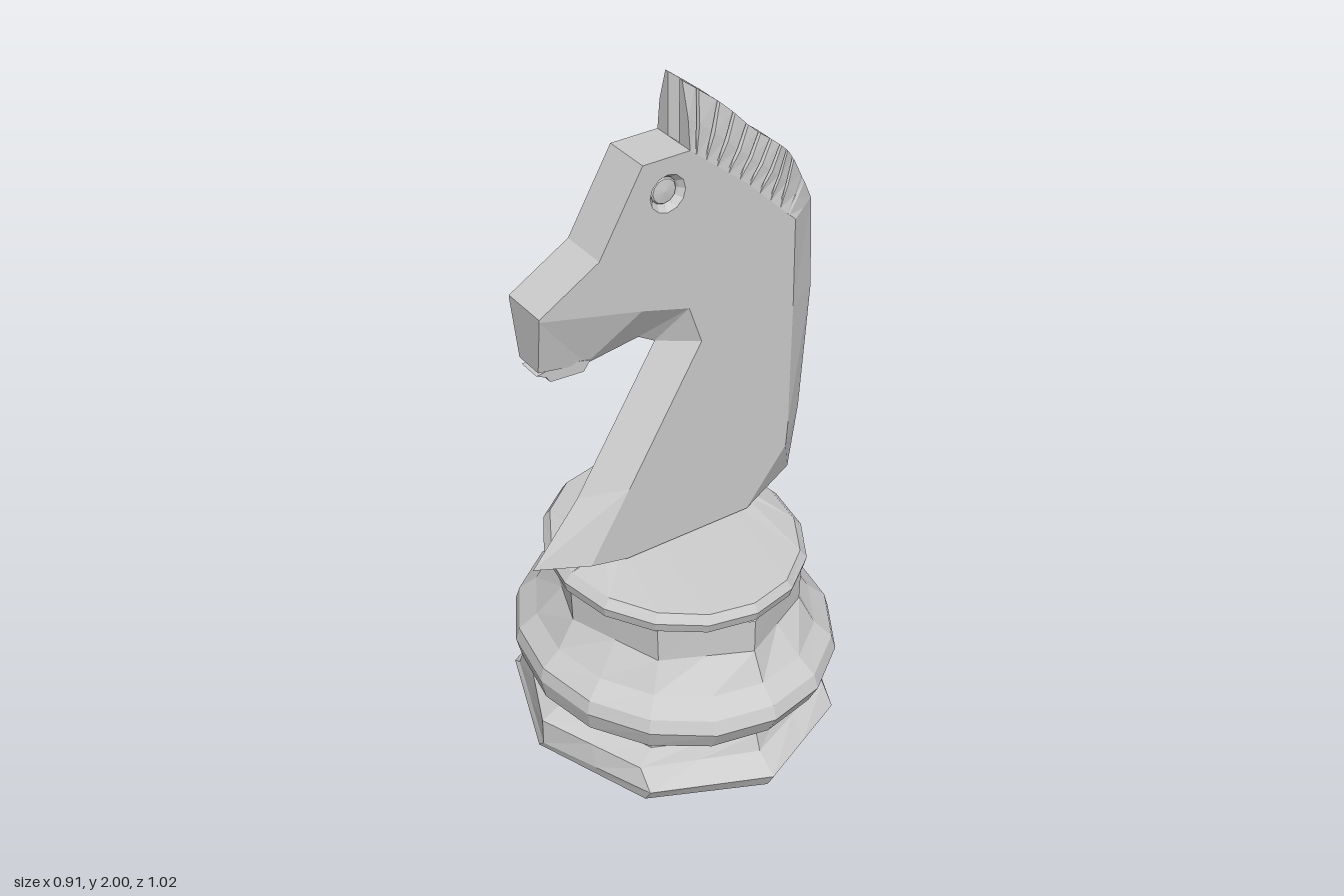
import * as THREE from 'three';

const material = new THREE.MeshStandardMaterial({ color: 0xcccccc, flatShading: true, side: THREE.DoubleSide });
const HALF = 0.072; // half thickness of the horse slab

function part(name, geometry) {
  const mesh = new THREE.Mesh(geometry, material);
  mesh.name = name;
  return mesh;
}

// Joins a list of cross-sections (arrays of [x, y, z]) with quads
function skin(rings) {
  const n = rings[0].length, index = [];
  for (let i = 0; i < rings.length - 1; i++) {
    for (let j = 0; j < n - 1; j++) {
      const a = i * n + j, d = a + n;
      index.push(a, a + 1, d + 1, a, d + 1, d);
    }
  }
  const geometry = new THREE.BufferGeometry();
  geometry.setAttribute('position', new THREE.Float32BufferAttribute(rings.flat(2), 3));
  geometry.setIndex(index);
  geometry.computeVertexNormals();
  return geometry;
}

// Oval cross-section: 16 points, pulled in to eight sides when asked; tilt raises the front
function oval([y, rx, rz, eight = false, z0 = 0.016, tilt = 0]) {
  const points = [];
  for (let i = 0; i <= 16; i++) {
    const a = (i / 16) * Math.PI * 2;
    const k = eight && i % 2 ? Math.cos(Math.PI / 8) : 1;
    const c = Math.cos(a) * k, s = -Math.sin(a) * k;
    points.push([rx * c, y + tilt * s, z0 + rz * s]);
  }
  return points;
}

function createBase() {
  const base = new THREE.Group();
  base.name = 'base';
  const sections = {
    plinth: [
      [0, 0, 0, true, -0.013], [0, 0.445, 0.497, true, -0.013],
      [0.03, 0.447, 0.495, true, 0.016, 0.02],
      [0.115, 0.447, 0.427, true, 0.016, -0.02],
      [0.145, 0.385, 0.41, true], [0.18, 0.385, 0.41, true],
    ],
    bulge: [
      [0.16, 0.37, 0.4], [0.165, 0.395, 0.42], [0.2, 0.432, 0.462], [0.265, 0.447, 0.497],
      [0.305, 0.437, 0.482], [0.35, 0.385, 0.432], [0.435, 0.336, 0.39, true],
    ],
    collar: [[0.435, 0.336, 0.39, true], [0.54, 0.34, 0.39, true]],
    rim: [
      [0.54, 0.335, 0.37], [0.545, 0.352, 0.39], [0.575, 0.358, 0.4],
      [0.6, 0.335, 0.385], [0.635, 0.25, 0.015],
    ],
  };
  for (const [name, rings] of Object.entries(sections)) base.add(part(name, skin(rings.map(oval))));
  return base;
}

// Outline around the horse: side edge x, y; then the middle ridge x, y and its half width
const outline = [
  [-0.447, 1.487, -0.447, 1.487, HALF],
  [-0.447, 1.48, -0.44, 1.315, 0.045],
  [-0.145, 1.407, -0.29, 1.28, 0.03],
  [0, 1.365, -0.11, 1.28, 0],
  [0.04, 1.25, -0.06, 1.25, 0],
  [-0.19, 0.865, -0.31, 0.84, 0],
  [-0.315, 0.66, -0.455, 0.66, 0],
  [-0.2, 0.635, -0.2, 0.635, 0],
  [0.2, 0.635, 0.2, 0.635, 0],
  [0.33, 0.8, 0.395, 0.66, 0],
  [0.335, 0.87, 0.425, 0.86, 0],
  [0.338, 1.25, 0.452, 1.25, 0],
  [0.335, 1.52, 0.44, 1.52, 0],
  [0.17, 1.68, 0.17, 1.68, 0],
  [0, 1.82, 0, 1.82, HALF],
  [-0.14, 1.82, -0.14, 1.82, HALF],
  [-0.27, 1.593, -0.27, 1.593, HALF],
];
const EYE = { x: -0.066, y: 1.72, r: 0.053, sides: 12 };

function createSide() {
  const shape = new THREE.Shape(outline.map(([x, y]) => new THREE.Vector2(x, y)));
  const hole = [];
  for (let i = 0; i < EYE.sides; i++) {
    const a = (i / EYE.sides) * Math.PI * 2;
    hole.push(new THREE.Vector2(EYE.x + EYE.r * Math.cos(a), EYE.y + EYE.r * Math.sin(a)));
  }
  shape.holes.push(new THREE.Path(hole));
  return new THREE.ShapeGeometry(shape).translate(0, 0, HALF);
}

// Bevel from the side edge to the middle ridge
function createBevel() {
  return skin([...outline, outline[0]].map(([sx, sy, rx, ry, w]) =>
    [[sx, sy, HALF], [rx, ry, w], [rx, ry, 0]]));
}

// Sunken eye with a sloped edge
function createEye() {
  const profile = [[0, -0.012], [0.034, -0.016], [0.038, -0.022], [0.041, -0.014], [EYE.r, 0]];
  return new THREE.LatheGeometry(profile.map(([r, h]) => new THREE.Vector2(r, h)), EYE.sides)
    .rotateX(Math.PI / 2).translate(EYE.x, EYE.y, HALF);
}

// One row of the mane: overlapping locks with saw-tooth steps, closing to a point behind
function createMane() {
  const curve = (points) => new THREE.SplineCurve(points.map(([x, y]) => new THREE.Vector2(x, y)));
  const root = curve([[0, 1.815], [0.17, 1.675], [0.335, 1.52]]);
  const crest = curve([[0, 1.995], [0.125, 1.895], [0.22, 1.8], [0.3, 1.735], [0.36, 1.67], [0.44, 1.52]]);
  const section = (t, step) => {
    const b = root.getPoint(t), c = crest.getPoint(t);
    const m = b.clone().lerp(c, 0.5);
    const taper = Math.min(1, (1 - t) / 0.35);
    const inner = 0.024 * taper, top = 0.036 * taper;
    return [
      [b.x, b.y, HALF], [m.x, m.y, (HALF + top) / 2 + (0.008 - step) * taper],
      [c.x, c.y, Math.max(inner, top - step * 0.5)], [c.x, c.y, inner], [b.x, b.y, inner],
    ];
  };
  const rings = [section(0, 0).map(([, , z]) => [0, 1.815, z])];
  const locks = 10;
  for (let i = 0; i < locks; i++) {
    const t = (i / locks) * 0.9;
    rings.push(section(t, 0), section(t + 0.075, 0.004), section(t + 0.088, 0.016));
  }
  rings.push(section(0.91, 0), section(1, 0));
  return skin(rings.map((ring) => ring.reverse()).reverse());
}

function createHorse() {
  const horse = new THREE.Group();
  horse.name = 'horse';
  for (const side of [1, -1]) {
    const half = new THREE.Group();
    half.name = side > 0 ? 'frontHalf' : 'backHalf';
    half.add(
      part('headAndNeckSide', createSide()),
      part('headAndNeckBevel', createBevel()),
      part('eye', createEye()),
      part('mane', createMane()),
    );
    half.scale.z = side;
    horse.add(half);
  }
  // Lower lip hanging under the muzzle
  const lip = new THREE.Shape([[-0.44, 1.3], [-0.41, 1.285], [-0.4, 1.268], [-0.3, 1.262], [-0.28, 1.29], [-0.36, 1.31]]
    .map(([x, y]) => new THREE.Vector2(x, y)));
  horse.add(part('lowerLip', new THREE.ExtrudeGeometry(lip, { depth: 0.07, bevelEnabled: false }).translate(0, 0, -0.035)));
  horse.position.z = 0.015;
  return horse;
}

export function createModel() {
  const model = new THREE.Group();
  model.name = 'chessKnight';
  model.add(createBase(), createHorse());
  return model;
}
